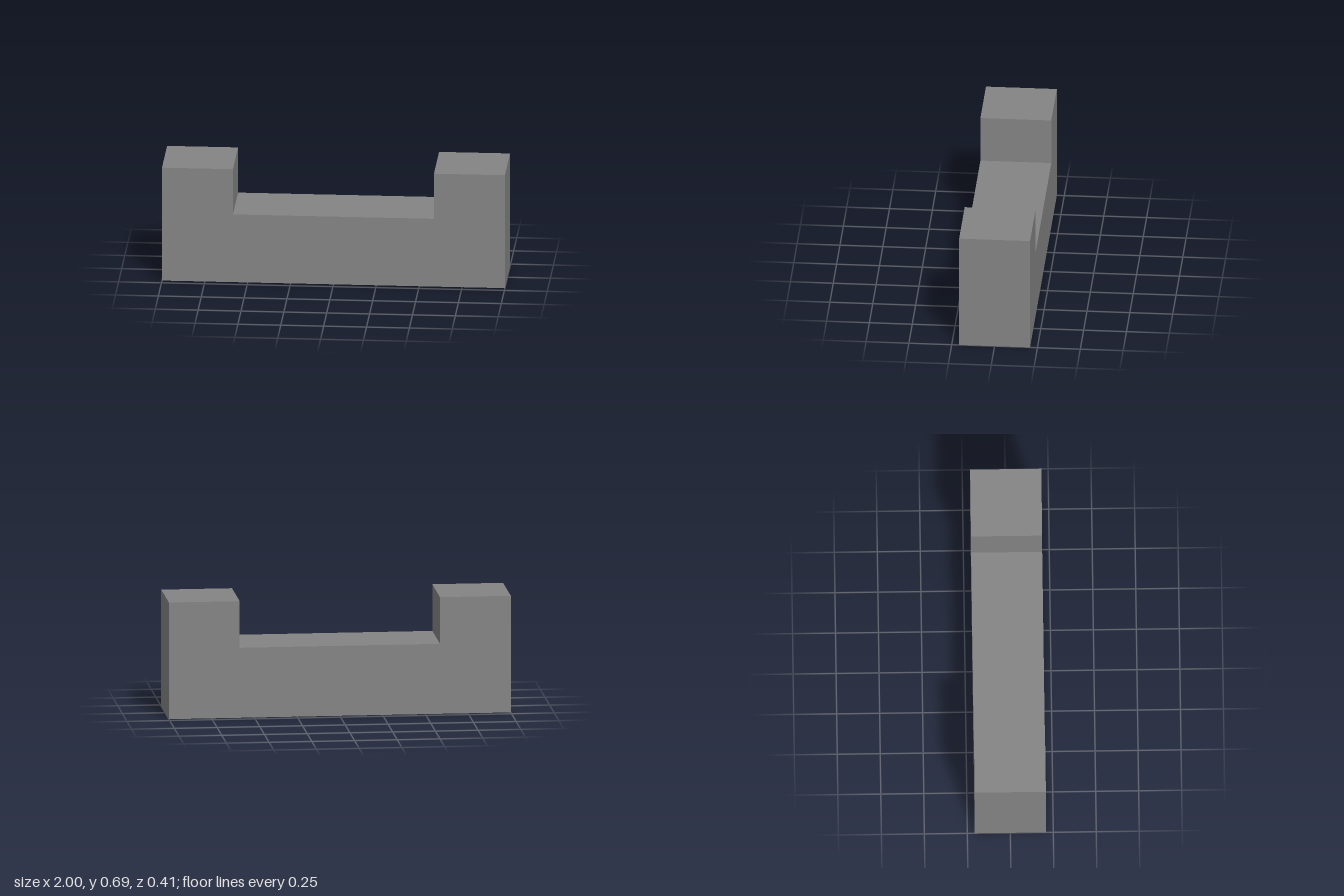
import * as THREE from 'three';

export function createModel() {
  const group = new THREE.Group();
  group.name = 'notchedBlock';
  const grey = new THREE.MeshStandardMaterial({ color: 0x848484 });
  grey.name = 'grey';

  const half = 1, inner = 0.586, height = 0.69, floor = 0.414, depth = 0.414;

  // U-shaped outline: a long bar with a raised block at each end
  const outline = new THREE.Shape([
    [-half, 0], [half, 0], [half, height], [inner, height],
    [inner, floor], [-inner, floor], [-inner, height], [-half, height],
  ].map(([x, y]) => new THREE.Vector2(x, y)));

  const geometry = new THREE.ExtrudeGeometry(outline, { depth, bevelEnabled: false });
  geometry.translate(0, 0, -depth / 2);

  const body = new THREE.Mesh(geometry, grey);
  body.name = 'barWithRaisedEnds';
  group.add(body);
  return group;
}
